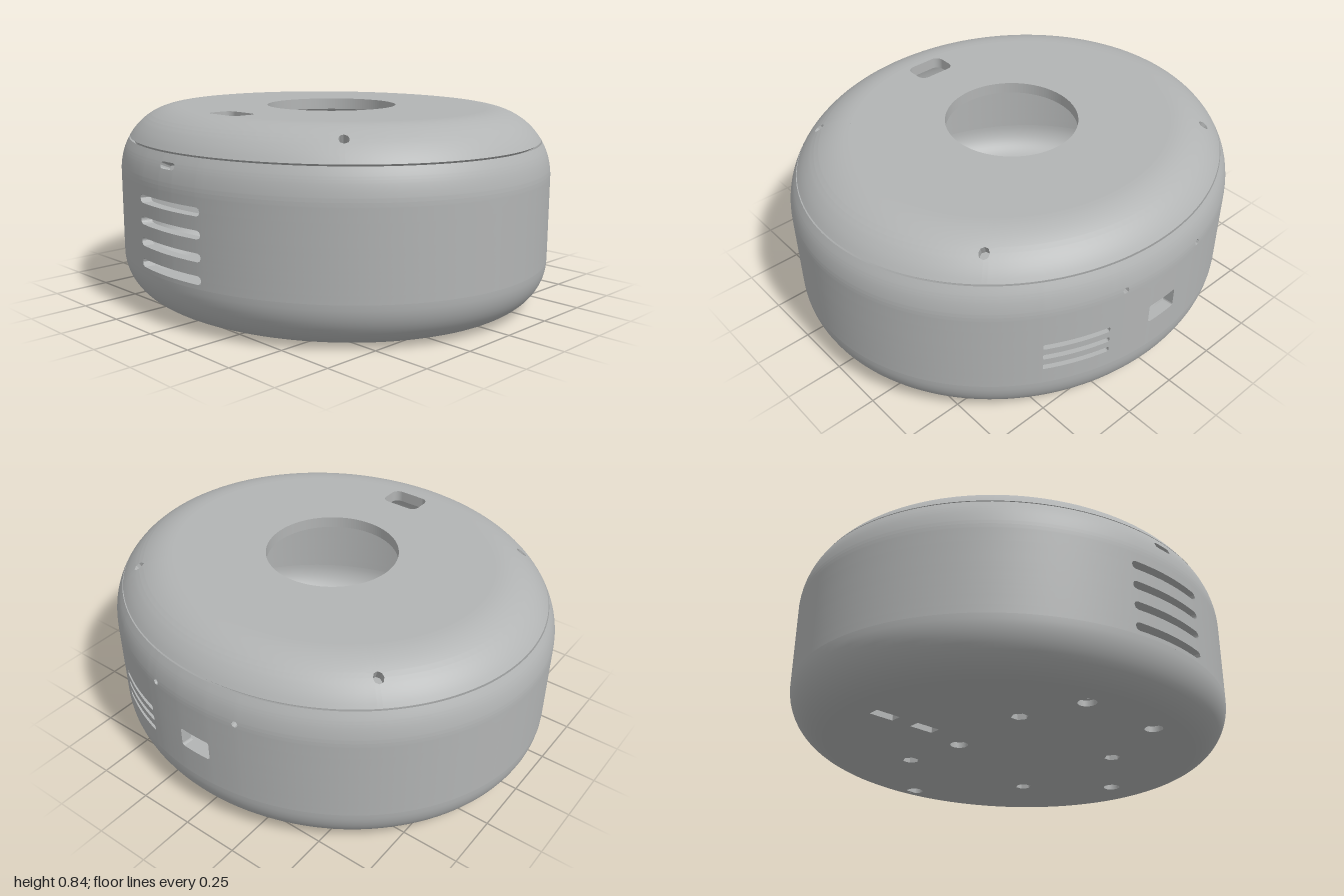
import * as THREE from 'three';

const DEPTH = 0.91;   // z radius of the oval, x radius is 1
const T = 0.05;       // shell thickness
const { PI, sin, cos, asin, abs, sign, max } = Math;

// Profiles give [radius, height] for a row value v, inset by t
const topFillet = (a, t) => [0.72 + (0.28 - t) * cos(a), 0.56 + (0.28 - t) * sin(a)];
const bottomFillet = (a, t) => [0.8 + (0.2 - t) * cos(a), 0.2 + (0.2 - t) * sin(a)];
const wallProfile = (y, t) => y <= 0.56 ? [1 - t, y] : topFillet(asin((y - 0.56) / 0.28), t);

const range = (a, b, n) => Array.from({ length: n + 1 }, (_, i) => a + (b - a) * i / n);

// Base lines plus the lines the holes need, without near duplicates
function mergeLines(base, extra) {
  const out = [];
  for (const v of extra) if (!out.some(o => abs(o - v) < 1e-5)) out.push(v);
  const kept = [...out];
  for (const v of base) if (!kept.some(o => abs(o - v) < 0.003)) out.push(v);
  return out.sort((a, b) => a - b);
}

// Oval double-walled shell with rounded holes {u, v, hu, hv, ru, rv}
function shell(name, profile, rows, holes, material) {
  const us = mergeLines(range(-PI / 2, 1.5 * PI, 144).slice(0, -1),
    holes.flatMap(h => [h.u - h.hu, h.u - h.hu + h.ru, h.u + h.hu - h.ru, h.u + h.hu]));
  const vs = mergeLines(rows,
    holes.flatMap(h => [h.v - h.hv, h.v - h.hv + h.rv, h.v + h.hv - h.rv, h.v + h.hv]));
  const n = us.length, m = vs.length;

  // Round the hole corners by pulling grid points onto the corner arcs
  const snap = (u, v) => {
    for (const h of holes) {
      const du = u - h.u, dv = v - h.v;
      if (abs(du) > h.hu + 1e-5 || abs(dv) > h.hv + 1e-5) continue;
      const eu = max(0, abs(du) - h.hu + h.ru) / h.ru, ev = max(0, abs(dv) - h.hv + h.rv) / h.rv;
      if (eu < 1e-4 || ev < 1e-4) continue;
      const len = Math.hypot(eu, ev);
      return [h.u + sign(du) * (h.hu - h.ru + h.ru * eu / len),
        h.v + sign(dv) * (h.hv - h.rv + h.rv * ev / len)];
    }
    return [u, v];
  };
  const point = (i, j, t) => {
    const [u, v] = snap(us[i % n], vs[j]);
    const [r, y] = profile(v, t);
    return [r * sin(u), y, DEPTH * r * cos(u)];
  };
  const open = (i, j) => {
    if (j < 0 || j >= m - 1) return true;
    i = (i + n) % n;
    const u = (us[i] + (i + 1 < n ? us[i + 1] : 1.5 * PI)) / 2, v = (vs[j] + vs[j + 1]) / 2;
    return holes.some(h => abs(u - h.u) < h.hu && abs(v - h.v) < h.hv);
  };

  const outer = [], inner = [], rim = [], faceOut = [], faceIn = [];
  for (let j = 0; j < m; j++) for (let i = 0; i < n; i++) {
    outer.push(...point(i, j, 0));
    inner.push(...point(i, j, T));
  }
  const edge = (i0, j0, i1, j1) => {
    const a = point(i0, j0, 0), b = point(i1, j1, 0), c = point(i1, j1, T), d = point(i0, j0, T);
    rim.push(...a, ...d, ...c, ...a, ...c, ...b);
  };
  for (let j = 0; j < m - 1; j++) for (let i = 0; i < n; i++) {
    if (open(i, j)) continue;
    const k = (i + 1) % n, a = j * n + i, b = j * n + k, c = b + n, d = a + n;
    faceOut.push(a, b, c, a, c, d);
    faceIn.push(a, c, b, a, d, c);
    if (open(i, j - 1)) edge(i, j, i + 1, j);
    if (open(i + 1, j)) edge(i + 1, j, i + 1, j + 1);
    if (open(i, j + 1)) edge(i + 1, j + 1, i, j + 1);
    if (open(i - 1, j)) edge(i, j + 1, i, j);
  }
  const group = new THREE.Group();
  group.name = name;
  for (const [part, pos, index] of [['OuterSkin', outer, faceOut], ['InnerSkin', inner, faceIn], ['Rims', rim, null]]) {
    const g = new THREE.BufferGeometry();
    g.setAttribute('position', new THREE.Float32BufferAttribute(pos, 3));
    if (index) g.setIndex(index);
    g.computeVertexNormals();
    const mesh = new THREE.Mesh(g, material);
    mesh.name = name + part;
    group.add(mesh);
  }
  return group;
}

// Hole outlines for the flat plates, in x and z
const disc = (x, z, r) => new THREE.Path().absarc(x, z, r, 0, 2 * PI, true);
const hexagon = (x, z, r) => new THREE.Path(range(0, 2 * PI, 6).slice(0, 6)
  .map(a => new THREE.Vector2(x + r * cos(a), z - r * sin(a))));
function roundRect(x, z, hx, hz, r) {
  const p = new THREE.Path();
  p.absarc(x + hx - r, z + hz - r, r, 0, PI / 2);
  p.absarc(x - hx + r, z + hz - r, r, PI / 2, PI);
  p.absarc(x - hx + r, z - hz + r, r, PI, 1.5 * PI);
  p.absarc(x + hx - r, z - hz + r, r, 1.5 * PI, 2 * PI);
  return p;
}

// Flat oval plate whose top is at the given height
function plate(name, radius, top, depth, holes, material) {
  const shape = new THREE.Shape().absellipse(0, 0, radius, radius * DEPTH, 0, 2 * PI);
  shape.holes = holes;
  const g = new THREE.ExtrudeGeometry(shape, { depth, bevelEnabled: false, curveSegments: 72 });
  g.rotateX(PI / 2).translate(0, top, 0);
  const mesh = new THREE.Mesh(g, material);
  mesh.name = name;
  return mesh;
}

export function createModel() {
  const plastic = new THREE.MeshStandardMaterial({ color: 0xb2b4b4, side: THREE.DoubleSide });
  plastic.name = 'grey plastic';
  const model = new THREE.Group();
  model.name = 'deviceHousing';
  const hole = (u, v, hu, hv, ru, rv = ru) => ({ u, v, hu, hv, ru, rv });

  // Wall openings: front vents, indicator slot, rear port, rear side vents, pinholes
  const wallHoles = [0.235, 0.325, 0.415, 0.505].map(y => hole(0, y, asin(0.2), 0.0175, 0.017));
  wallHoles.push(hole(0, 0.66, 0.047, 0.0135, 0.013));
  wallHoles.push(hole(PI, 0.375, 0.075, 0.045, 0.01));
  for (const y of [0.29, 0.345, 0.4]) wallHoles.push(hole(PI - 0.416, y, 0.143, 0.0125, 0.006));
  for (const s of [-1, 1]) wallHoles.push(hole(PI + s * 0.212, 0.58, 0.014, 0.014, 0.0139));
  model.add(shell('wall', wallProfile, [0.2, 0.56, ...range(0.58, 0.706, 7)], wallHoles, plastic));
  model.add(shell('bottomEdge', bottomFillet, range(-PI / 2, 0, 14), [], plastic));

  // Lid edge with four screw holes, and the flat lid with its round and oblong openings
  const screws = [0.806, -0.806, PI - 0.806, PI + 0.806].map(u => hole(u, 0.992, 0.025, 0.092, 0.0249, 0.0919));
  model.add(shell('lidEdge', topFillet, range(0.574, PI / 2, 14), screws, plastic));
  model.add(plate('lidTop', 0.72, 0.84, T,
    [disc(0, 0, 0.288), roundRect(0, 0.57, 0.09, 0.06, 0.035)], plastic));

  // Lip behind the seam
  const lip = new THREE.Mesh(new THREE.CylinderGeometry(0.935, 0.935, 0.04, 144, 1, true), plastic);
  lip.name = 'seamLip';
  lip.scale.z = DEPTH;
  lip.position.y = 0.71;
  model.add(lip);

  // Floor in two layers so the screw holes are stepped and the nut pockets are blind
  const screwSpots = [[0.66, 0], [0, -0.7], [0.2, 0.634], [-0.2, 0.634], [-0.26, -0.055]];
  const nutSpots = [[0.34, 0.285], [0.34, -0.285], [-0.29, 0.353], [-0.29, -0.353]];
  const slots = () => [-0.49, -0.69].map(x => roundRect(x, 0, 0.055, 0.025, 0.004));
  model.add(plate('floorOuter', 0.8, 0.025, 0.025, [
    ...screwSpots.map(([x, z]) => disc(x, z, 0.038)),
    ...nutSpots.map(([x, z]) => hexagon(x, z, 0.036)), ...slots()], plastic));
  model.add(plate('floorInner', 0.8, T, 0.025, [
    ...screwSpots.map(([x, z]) => disc(x, z, 0.025)),
    ...nutSpots.map(([x, z]) => disc(x, z, 0.016)), ...slots()], plastic));

  // Round collar inside the back wall around the port
  const collar = new THREE.Shape().absarc(0, 0, 0.225, 0, 2 * PI);
  collar.holes = [disc(0, 0, 0.195)];
  const ring = new THREE.Mesh(new THREE.ExtrudeGeometry(collar,
    { depth: 0.05, bevelEnabled: false, curveSegments: 32 }), plastic);
  ring.name = 'portCollar';
  ring.position.set(0, 0.36, -0.865);
  model.add(ring);
  return model;
}
